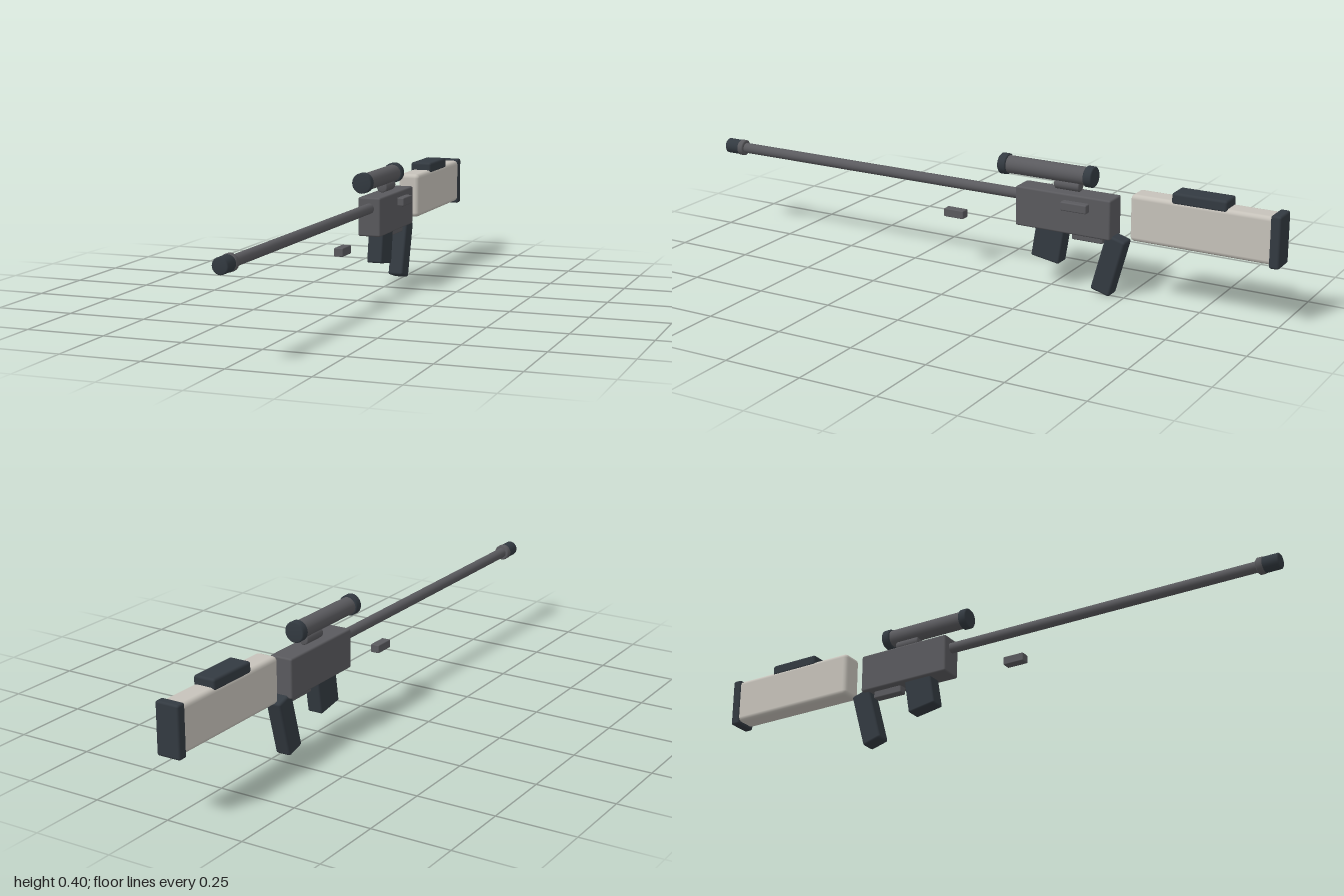
import * as THREE from 'three';
import { RoundedBoxGeometry } from 'three/addons/geometries/RoundedBoxGeometry.js';

const material = (name, color) => {
  const m = new THREE.MeshStandardMaterial({ color });
  m.name = name;
  return m;
};

export function createModel() {
  const model = new THREE.Group();
  model.name = 'toyRifle';
  const metal = material('gunmetal grey', 0x5a5a5e);
  const dark = material('blue black', 0x333a41);
  const pale = material('pale stone', 0xc6c2ba);
  const axisX = -0.011;

  const add = (name, geometry, mat, x, y, z, tilt = 0) => {
    const mesh = new THREE.Mesh(geometry, mat);
    mesh.name = name;
    mesh.position.set(x, y, z);
    mesh.rotation.x = tilt;
    model.add(mesh);
    return mesh;
  };

  // Soft-edged block, centred at y and z
  const block = (name, mat, w, h, d, y, z, radius = 0.006, tilt = 0, x = axisX) =>
    add(name, new RoundedBoxGeometry(w, h, d, 2, radius), mat, x, y, z, tilt);

  // Smoothly shaded rod along z, from the back to the front
  const rod = (name, mat, r, y, back, front) => {
    const half = (front - back) / 2;
    const b = Math.min(0.004, r * 0.2);
    const profile = [[0, -half], [r - b, -half], [r, -half + b], [r, half - b], [r - b, half], [0, half]]
      .map(([px, py]) => new THREE.Vector2(px, py));
    const geometry = new THREE.LatheGeometry(profile, 24);
    geometry.rotateX(Math.PI / 2);
    return add(name, geometry, mat, axisX, y, (front + back) / 2);
  };

  // Receiver and side bolt
  block('receiver', metal, 0.077, 0.127, 0.325, 0.25, -0.298);
  block('bolt', metal, 0.04, 0.028, 0.088, 0.28, -0.346, 0.004, 0, 0.03);

  // Barrel and muzzle
  rod('barrel', metal, 0.017, 0.278, -0.15, 0.95);
  rod('muzzleCollar', metal, 0.026, 0.278, 0.927, 0.95);
  rod('muzzleTip', dark, 0.0245, 0.278, 0.945, 1);

  // Scope with an end ring at each end, on a small round mount
  rod('scopeTube', metal, 0.028, 0.368, -0.38, -0.075);
  rod('scopeFrontRing', dark, 0.033, 0.368, -0.094, -0.065);
  rod('scopeRearRing', dark, 0.033, 0.368, -0.39, -0.361);
  rod('scopeMount', metal, 0.018, 0.333, -0.343, -0.257);

  // Magazine and grip lean forward at the bottom
  block('magazine', dark, 0.052, 0.13, 0.098, 0.149, -0.243, 0.006, -0.16);
  block('grip', dark, 0.052, 0.19, 0.067, 0.101, -0.448, 0.008, -0.27);

  // Trigger guard and detached front block
  block('triggerGuard', metal, 0.03, 0.027, 0.105, 0.177, -0.373, 0.004);
  block('frontBlock', metal, 0.03, 0.027, 0.071, 0.178, 0.102, 0.003);

  // Stock, cheek rest and butt pad
  block('stock', pale, 0.074, 0.147, 0.455, 0.271, -0.752, 0.014);
  block('cheekRest', dark, 0.073, 0.036, 0.175, 0.352, -0.745, 0.008);
  block('buttPad', dark, 0.079, 0.161, 0.032, 0.269, -0.984, 0.007);

  return model;
}
